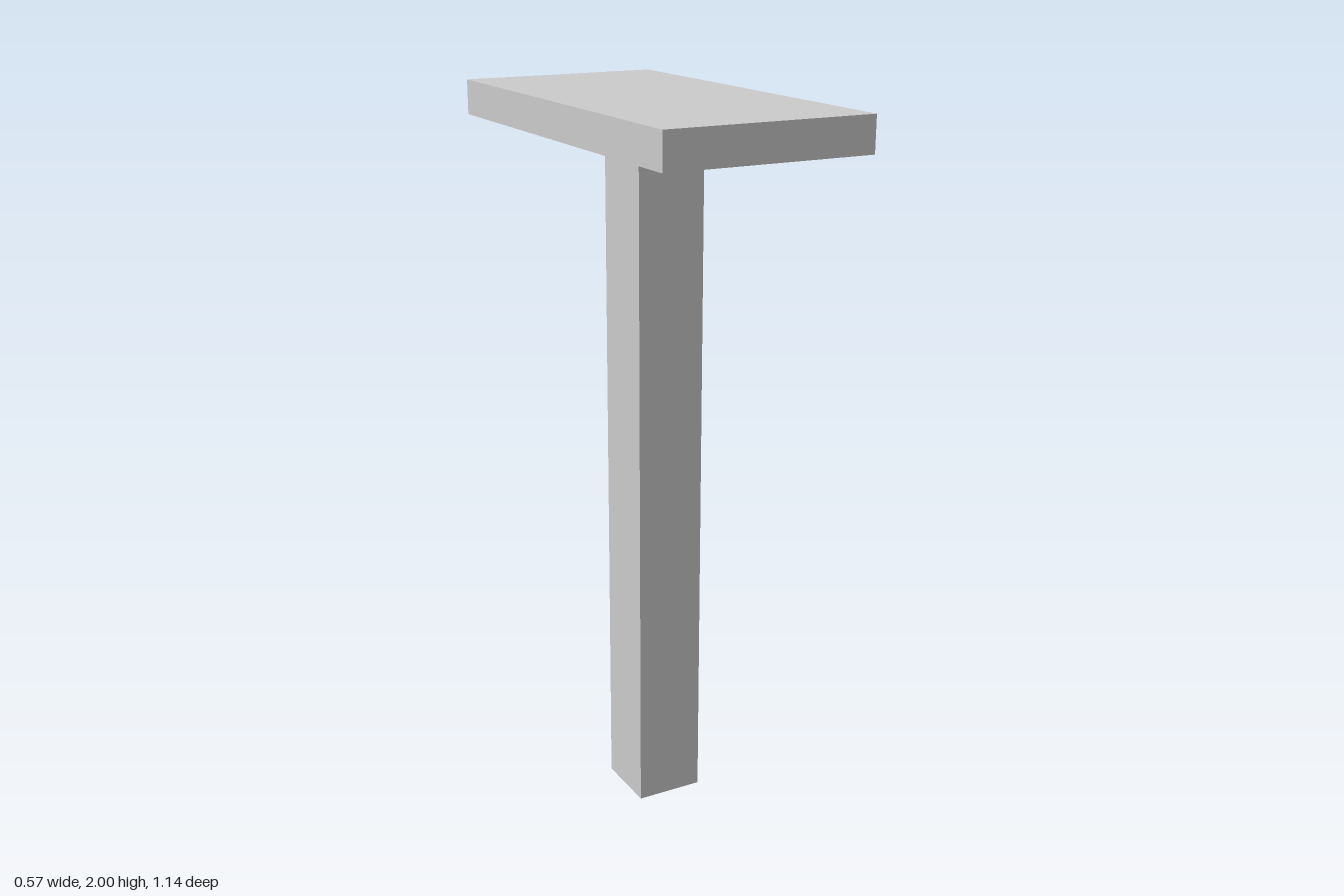
import * as THREE from 'three';

// All sizes are whole multiples of the slab thickness; the total height is 21 of them.
const U = 2 / 21;

export function createModel() {
  const group = new THREE.Group();
  const material = new THREE.MeshStandardMaterial({ color: 0xcccccc, flatShading: true });

  const addBox = (name, width, height, depth, bottom) => {
    const mesh = new THREE.Mesh(new THREE.BoxGeometry(width * U, height * U, depth * U), material);
    mesh.name = name;
    mesh.position.y = (bottom + height / 2) * U;
    group.add(mesh);
  };

  // Square upright post
  addBox('post', 2, 20, 2, 0);
  // Flat slab resting on the post
  addBox('topSlab', 6, 1, 12, 20);

  return group;
}
